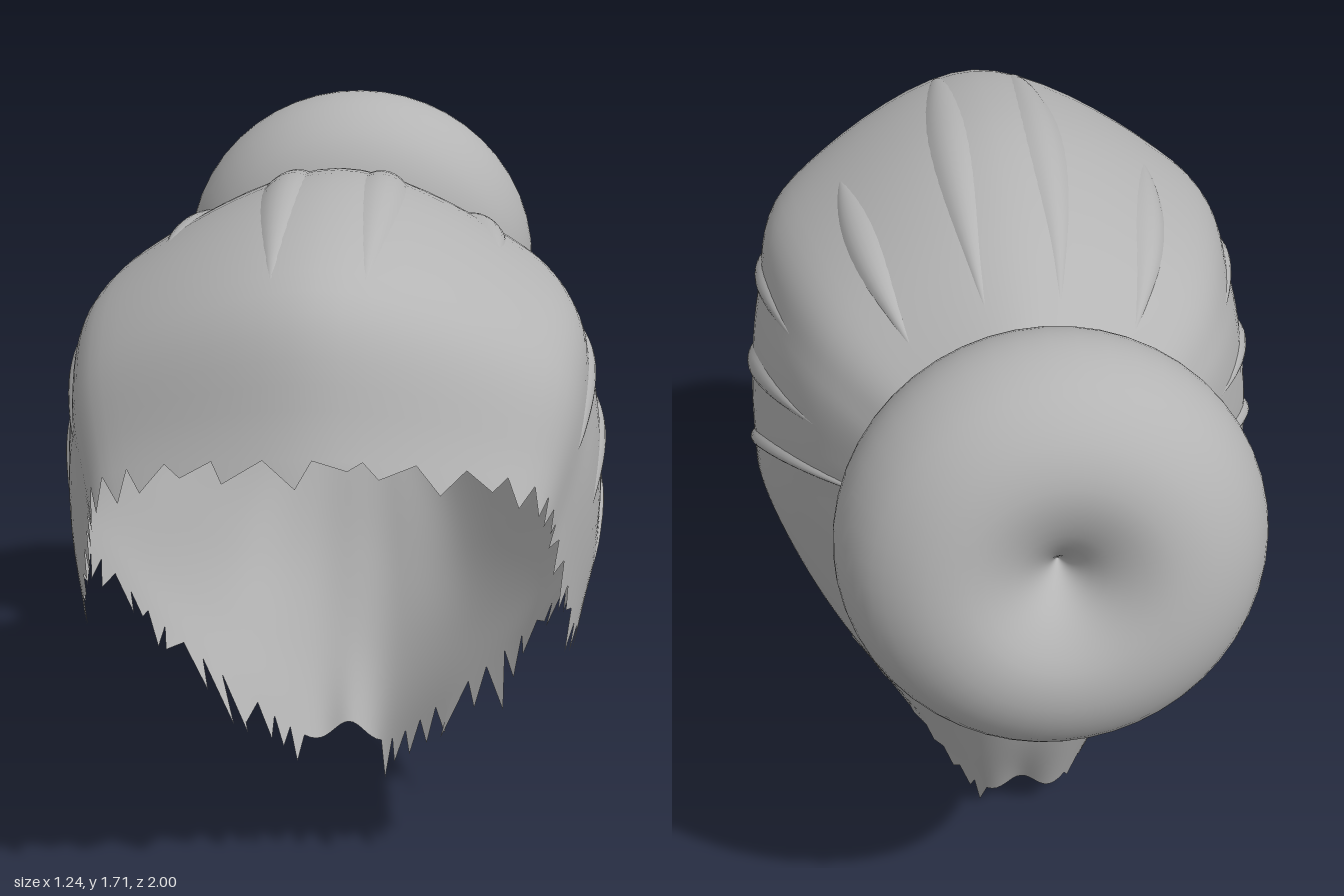
import * as THREE from 'three';

const V = (x, y, z) => new THREE.Vector3(x, y, z);

// Hair tie placement: every strand starts on this tilted circle
const TIE = { y: 1.137, z: -0.44, radius: 0.248, tilt: 0.27 };
const tiePoint = a => V(
  TIE.radius * Math.sin(a),
  TIE.y + TIE.radius * Math.cos(a) * Math.cos(TIE.tilt),
  TIE.z + TIE.radius * Math.cos(a) * Math.sin(TIE.tilt),
);

// Left-half strands, crown to nape: angle on the tie, then points out to the hairline
const guides = [
  { angle: 0, path: [[0, 1.56, -0.01], [0, 1.615, 0.4], [0, 1.5, 0.85], [0, 1.19, 0.99]] },
  { angle: 57, path: [[0.38, 1.4, -0.04], [0.47, 1.4, 0.37], [0.465, 1.315, 0.69], [0.42, 1.11, 0.86]] },
  { angle: 82, path: [[0.47, 1.24, -0.1], [0.57, 1.2, 0.27], [0.56, 1.09, 0.56], [0.5, 0.94, 0.74]] },
  { angle: 100, path: [[0.485, 1.05, -0.13], [0.6, 0.95, 0.17], [0.595, 0.815, 0.4], [0.55, 0.66, 0.54]] },
  { angle: 115, path: [[0.44, 0.94, -0.19], [0.56, 0.85, 0.03], [0.6, 0.775, 0.16], [0.58, 0.7, 0.27]] },
  { angle: 132, path: [[0.365, 0.82, -0.275], [0.45, 0.68, -0.11], [0.485, 0.56, 0], [0.46, 0.45, 0.07]] },
  { angle: 152, path: [[0.23, 0.685, -0.395], [0.28, 0.5, -0.29], [0.295, 0.345, -0.175], [0.27, 0.2, -0.07]] },
  { angle: 168, path: [[0.1, 0.67, -0.44], [0.12, 0.46, -0.375], [0.125, 0.245, -0.285], [0.1, 0.01, -0.19]] },
  { angle: 180, path: [[0, 0.67, -0.447], [0, 0.46, -0.39], [0, 0.245, -0.31], [0, 0.05, -0.21]] },
];
const strand = ({ angle, path }, side) => new THREE.CatmullRomCurve3([
  tiePoint(side * THREE.MathUtils.degToRad(angle)),
  ...path.map(([x, y, z]) => V(x * side, y, z)),
], false, 'catmullrom');
const strands = [
  ...guides.map(g => strand(g, 1)),
  ...guides.slice(1, -1).reverse().map(g => strand(g, -1)),
];
const N = strands.length;

// Closed ring across all strands at distance v from the tie
const ringAt = v => new THREE.CatmullRomCurve3(strands.map(s => s.getPoint(v)), true, 'catmullrom');

function meshGeometry(positions, index) {
  const g = new THREE.BufferGeometry();
  g.setAttribute('position', new THREE.Float32BufferAttribute(positions, 3));
  g.setIndex(index);
  g.computeVertexNormals();
  return g;
}

// Swept-back shell with a ragged fringe of pointed tips
function capGeometry() {
  const perStrand = 9, cols = N * perStrand, rows = 28, pos = [], idx = [];
  let seed = 7;
  const rand = () => (seed = (seed * 16807) % 2147483647) / 2147483647;
  for (let r = 0; r <= rows; r++) {
    const ring = ringAt(r / rows);
    for (let c = 0; c < cols; c++) pos.push(...ring.getPoint(c / cols).toArray());
  }
  for (let r = 0; r < rows; r++) for (let c = 0; c < cols; c++) {
    const a = r * cols + c, b = r * cols + (c + 1) % cols;
    idx.push(a, a + cols, b, b, a + cols, b + cols);
  }
  const reach = [0.05, 0.05, 0.06, 0.06, 0.07, 0.12, 0.1, 0, 0];
  const edge = ringAt(1), inner = ringAt(0.95);
  for (let c = 0; c < cols; c += 2) {
    const g = c / perStrand;
    const length = reach[Math.floor(Math.min(g, N - g))] * (0.4 + rand());
    if (length === 0) continue;
    const end = edge.getPoint((c + 0.6 + rand() * 0.8) / cols);
    const dir = end.clone().sub(inner.getPoint((c + 1) / cols)).normalize();
    const a = rows * cols + c, tip = pos.length / 3;
    idx.push(a, tip, a + 1, a + 1, tip, rows * cols + (c + 2) % cols);
    pos.push(...end.addScaledVector(dir, length).toArray());
  }
  return meshGeometry(pos, idx);
}

// Slim raised lock lying along the shell
function lockGeometry(u0, u1, v0, v1, width) {
  const rows = 20, cols = 6, pos = [], idx = [], e = 0.004;
  for (let r = 0; r <= rows; r++) {
    const t = r / rows, v = v0 + (v1 - v0) * t, ring = ringAt(v), next = ringAt(v + e);
    for (let c = 0; c <= cols; c++) {
      const s = c / cols * 2 - 1;
      const u = (u0 + (u1 - u0) * t + s * width * Math.sin(Math.PI * t) + 1) % 1;
      const p = ring.getPoint(u);
      const du = ring.getPoint((u + e) % 1).sub(p), dv = next.getPoint(u).sub(p);
      const lift = 0.016 * (1 - s * s) * Math.sin(Math.PI * t) - 0.003;
      pos.push(...p.addScaledVector(dv.cross(du).normalize(), lift).toArray());
    }
  }
  for (let r = 0; r < rows; r++) for (let c = 0; c < cols; c++) {
    const a = r * (cols + 1) + c, b = a + cols + 1;
    idx.push(a, b, a + 1, a + 1, b, b + 1);
  }
  return meshGeometry(pos, idx);
}

// One ply of the twisted cord
class CordPly extends THREE.Curve {
  constructor(phase) { super(); this.phase = phase; }
  getPoint(t, target = V(0, 0, 0)) {
    const a = t * Math.PI * 2, w = a * 11 + this.phase, r = TIE.radius + 0.019 * Math.cos(w);
    return target.set(r * Math.cos(a), r * Math.sin(a), 0.025 * Math.sin(w));
  }
}

export function createModel() {
  const model = new THREE.Group();
  const hair = new THREE.MeshStandardMaterial({ color: 0xb4b4b4, side: THREE.DoubleSide });
  hair.name = 'hairGrey';
  const add = (parent, name, geometry) => {
    const mesh = new THREE.Mesh(geometry, hair);
    mesh.name = name;
    parent.add(mesh);
    return mesh;
  };

  add(model, 'hairCap', capGeometry());

  // Raised locks, mirrored on both sides
  const locks = new THREE.Group();
  locks.name = 'raisedLocks';
  model.add(locks);
  for (const [u0, u1, v0, v1, w] of [
    [0.017, 0.012, 0.08, 0.75, 0.006], [0.05, 0.045, 0.1, 0.5, 0.006], [0.118, 0.11, 0.3, 0.85, 0.009],
    [0.163, 0.155, 0.2, 0.8, 0.008], [0.219, 0.205, 0.02, 0.9, 0.01],
  ]) {
    add(locks, 'lockLeft', lockGeometry(u0, u1, v0, v1, w));
    add(locks, 'lockRight', lockGeometry(1 - u0, 1 - u1, v0, v1, w));
  }

  // Twisted hair tie
  const tie = new THREE.Group();
  tie.name = 'hairTie';
  for (const phase of [0, Math.PI]) add(tie, 'cordPly', new THREE.TubeGeometry(new CordPly(phase), 264, 0.023, 8, true));
  tie.position.set(0, TIE.y, TIE.z);
  tie.rotation.x = TIE.tilt;
  model.add(tie);

  // Round bun, dimpled front and back
  const half = [[0, 0.09], [0.03, 0.14], [0.1, 0.205], [0.2, 0.243], [0.3, 0.228], [0.39, 0.165], [0.44, 0.08]];
  const outline = [
    ...half.map(([r, h]) => V(r, -h, 0)), V(0.455, 0, 0), ...half.slice().reverse().map(([r, h]) => V(r, h, 0)),
  ];
  const profile = new THREE.CatmullRomCurve3(outline).getPoints(48).map(p => new THREE.Vector2(Math.max(0, p.x), p.y));
  const bun = add(model, 'bun', new THREE.LatheGeometry(profile, 48));
  bun.position.set(0, 1.18, -0.705);
  bun.rotation.x = -Math.PI / 2 + 0.19;

  return model;
}
